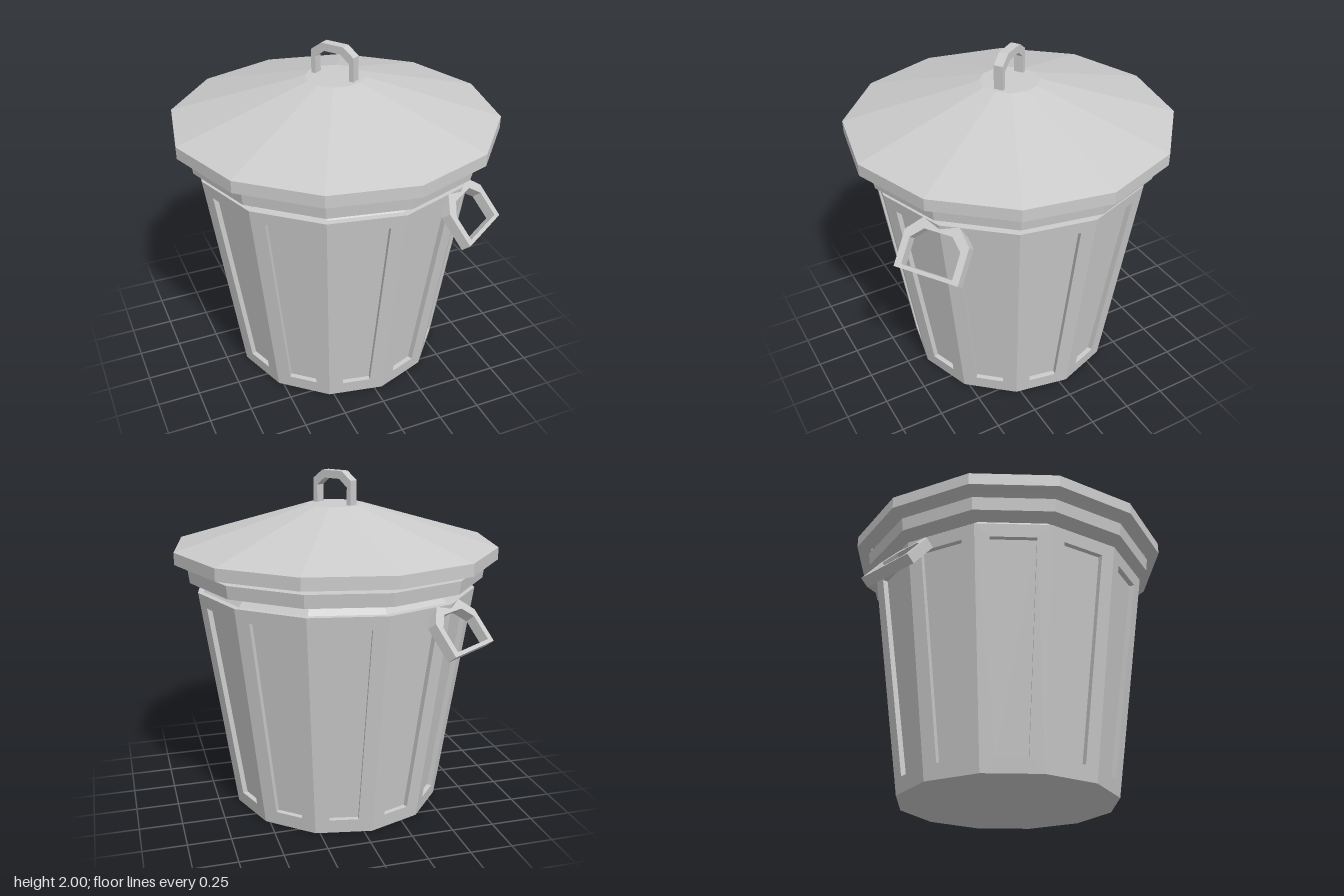
import * as THREE from 'three';

const SIDES = 12;
const STEP = (Math.PI * 2) / SIDES;
const TURN = THREE.MathUtils.degToRad(4.2); // angle of the first corner
const HANDLE_ANGLE = TURN + STEP;           // handles sit on a corner
const BODY_TOP = 1.34, R_BOTTOM = 0.633, R_TOP = 0.827;

const metal = new THREE.MeshStandardMaterial({ color: 0xcccccc, flatShading: true });

function addMesh(parent, name, geometry) {
  const mesh = new THREE.Mesh(geometry, metal);
  mesh.name = name;
  parent.add(mesh);
  return mesh;
}

// Twelve-sided ring from a [radius, height] profile
function lathe(profile) {
  const points = profile.map(([r, y]) => new THREE.Vector2(r, y));
  return new THREE.LatheGeometry(points, SIDES, TURN, Math.PI * 2);
}

// One tapered wall of the can with a sunken panel, facing +z
function wallGeometry() {
  const depth = 0.03;
  const radius = (y) => R_BOTTOM + (R_TOP - R_BOTTOM) * (y / BODY_TOP);
  const point = (s, y, d) => [s, y, radius(y) * Math.cos(STEP / 2) - d];
  const loop = (y0, s0, y1, s1, d) =>
    [point(-s0, y0, d), point(s0, y0, d), point(s1, y1, d), point(-s1, y1, d)];
  const half = Math.sin(STEP / 2);
  const loops = [
    loop(0, R_BOTTOM * half, BODY_TOP, R_TOP * half, 0),
    loop(0.085, 0.084, 1.265, 0.13, 0),
    loop(0.085, 0.084, 1.265, 0.13, depth),
  ];
  const positions = [];
  const quad = (a, b, c, d) => positions.push(...a, ...b, ...c, ...a, ...c, ...d);
  for (let k = 0; k < 2; k++) {
    for (let i = 0; i < 4; i++) {
      const j = (i + 1) % 4;
      quad(loops[k][i], loops[k][j], loops[k + 1][j], loops[k + 1][i]);
    }
  }
  quad(...loops[2]);
  const geometry = new THREE.BufferGeometry();
  geometry.setAttribute('position', new THREE.Float32BufferAttribute(positions, 3));
  geometry.computeVertexNormals();
  return geometry;
}

// Outline with two chamfered upper corners
function arch(halfWidth, halfTop, bottom, shoulder, top) {
  return [[-halfWidth, bottom], [halfWidth, bottom], [halfWidth, shoulder],
    [halfTop, top], [-halfTop, top], [-halfWidth, shoulder]]
    .map(([x, y]) => new THREE.Vector2(x, y));
}

function handleGeometry(outer, inner, thickness) {
  const shape = new THREE.Shape(outer);
  shape.holes.push(new THREE.Path(inner));
  const geometry = new THREE.ExtrudeGeometry(shape, { depth: thickness, bevelEnabled: false });
  return geometry.translate(0, 0, -thickness / 2);
}

export function createModel() {
  const model = new THREE.Group();
  model.name = 'trashCan';

  // Can body: panelled walls and base
  const body = new THREE.Group();
  body.name = 'body';
  model.add(body);
  const wall = wallGeometry();
  for (let i = 0; i < SIDES; i++) {
    addMesh(body, 'wallPanel', wall).rotation.y = TURN + STEP * (i + 0.5);
  }
  addMesh(body, 'base', lathe([[0, 0], [R_BOTTOM, 0]]));

  // Neck, flared rim and hollow inside
  addMesh(body, 'rimAndInside', lathe([
    [R_TOP, BODY_TOP], [0.79, BODY_TOP], [0.745, 1.4], [0.87, 1.4], [0.88, 1.475],
    [0.73, 1.475], [0.73, 1.34], [0.57, 0.05], [0, 0.05],
  ]));

  // Lid, raised slightly above the rim
  addMesh(model, 'lid', lathe([
    [0, 1.78], [0.87, 1.55], [0.87, 1.51], [0.953, 1.51], [0.953, 1.58], [0.17, 1.81], [0, 1.81],
  ]));

  // Lid handle: an arch standing on two legs
  const legs = arch(0.14, 0.072, 1.8, 1.95, 2.0);
  const opening = arch(0.112, 0.055, 1.8, 1.91, 1.955);
  const lidShape = new THREE.Shape([
    legs[0], opening[0], opening[5], opening[4], opening[3], opening[2], opening[1],
    legs[1], legs[2], legs[3], legs[4], legs[5],
  ]);
  const lidHandle = addMesh(model, 'lidHandle',
    new THREE.ExtrudeGeometry(lidShape, { depth: 0.055, bevelEnabled: false })
      .translate(0, 0, -0.0275));
  lidHandle.rotation.y = HANDLE_ANGLE - Math.PI / 2;

  // Side handles, leaning in towards the rim
  const grip = handleGeometry(
    arch(0.193, 0.11, 0, 0.205, 0.29), arch(0.153, 0.085, 0.022, 0.17, 0.235), 0.06);
  for (const [name, angle] of [['frontHandle', 0], ['backHandle', Math.PI]]) {
    const pivot = new THREE.Group();
    pivot.name = name;
    pivot.rotation.y = HANDLE_ANGLE + angle;
    const mesh = addMesh(pivot, name + 'Grip', grip);
    mesh.position.set(0, 1.1, 0.963);
    mesh.rotation.x = -THREE.MathUtils.degToRad(40);
    model.add(pivot);
  }

  return model;
}
